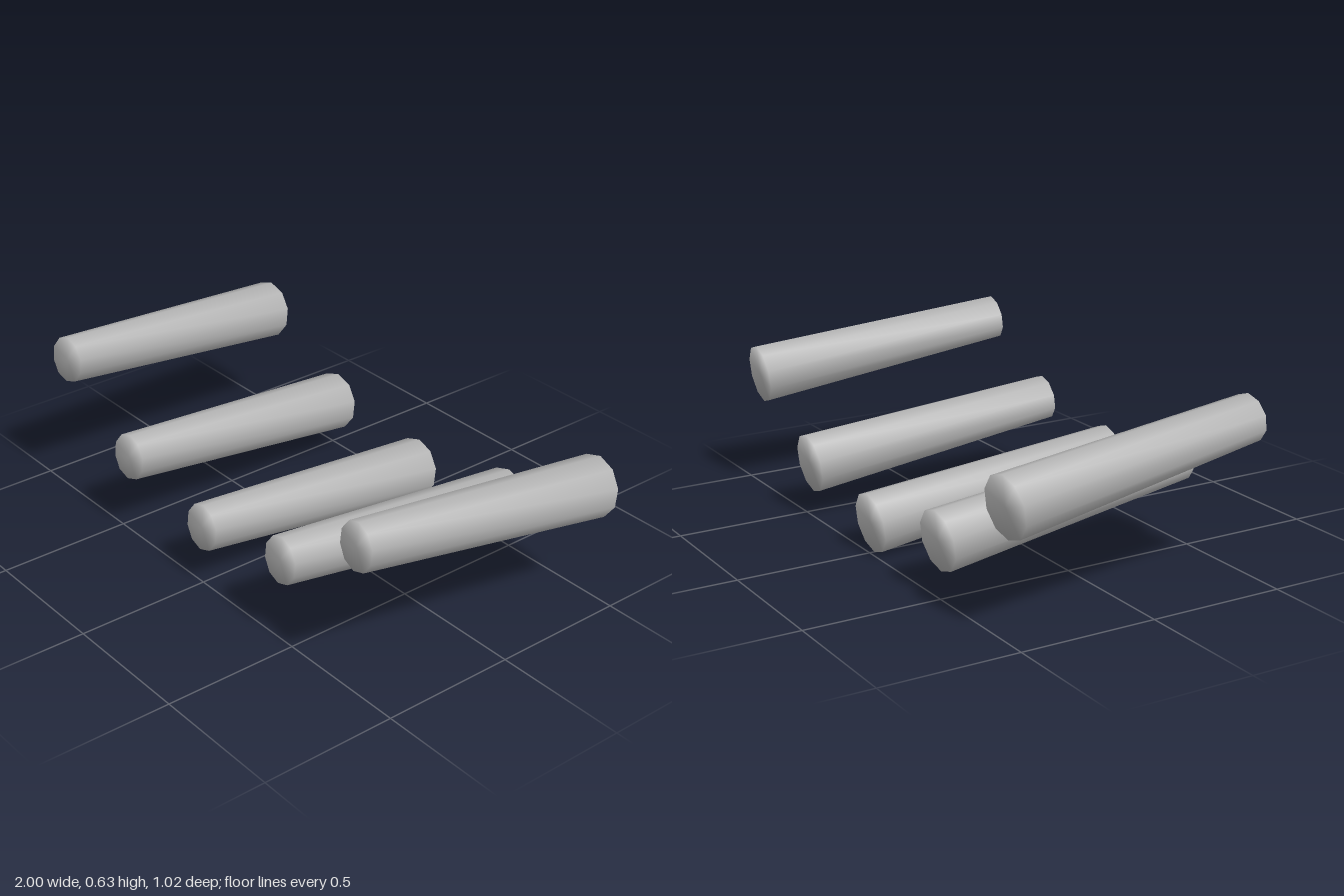
import * as THREE from 'three';
import { mergeVertices } from 'three/addons/utils/BufferGeometryUtils.js';

// Ten-sided tapered rod along z, narrow end forward, one shared smooth surface
function rodGeometry(frontRadius, backRadius, length) {
  const geo = new THREE.CylinderGeometry(frontRadius, backRadius, length, 10, 1);
  geo.rotateX(Math.PI / 2);
  geo.deleteAttribute('uv');
  geo.deleteAttribute('normal');
  const welded = mergeVertices(geo, 1e-4);
  welded.computeVertexNormals();
  return welded;
}

export function createModel() {
  const model = new THREE.Group();
  model.name = 'fannedRods';
  const grey = new THREE.MeshStandardMaterial({ color: 0xb2b2b2 });
  grey.name = 'plain grey';

  // Add a rod running between the centres of its back and front ends
  function addRod(name, back, front) {
    const a = new THREE.Vector3(...back);
    const b = new THREE.Vector3(...front);
    const rod = new THREE.Mesh(rodGeometry(0.085, 0.11, a.distanceTo(b)), grey);
    rod.name = name;
    rod.position.copy(a).add(b).multiplyScalar(0.5);
    rod.lookAt(b);
    model.add(rod);
  }

  // Middle rod, then mirrored pairs rising outward
  addRod('middleRod', [0, 0.113, -0.494], [0, 0.229, 0.499]);
  for (const [side, s] of [['left', 1], ['right', -1]]) {
    addRod(side + 'InnerRod', [s * 0.475, 0.198, -0.494], [s * 0.439, 0.314, 0.499]);
    addRod(side + 'OuterRod', [s * 0.893, 0.439, -0.493], [s * 0.82, 0.554, 0.498]);
  }
  return model;
}
